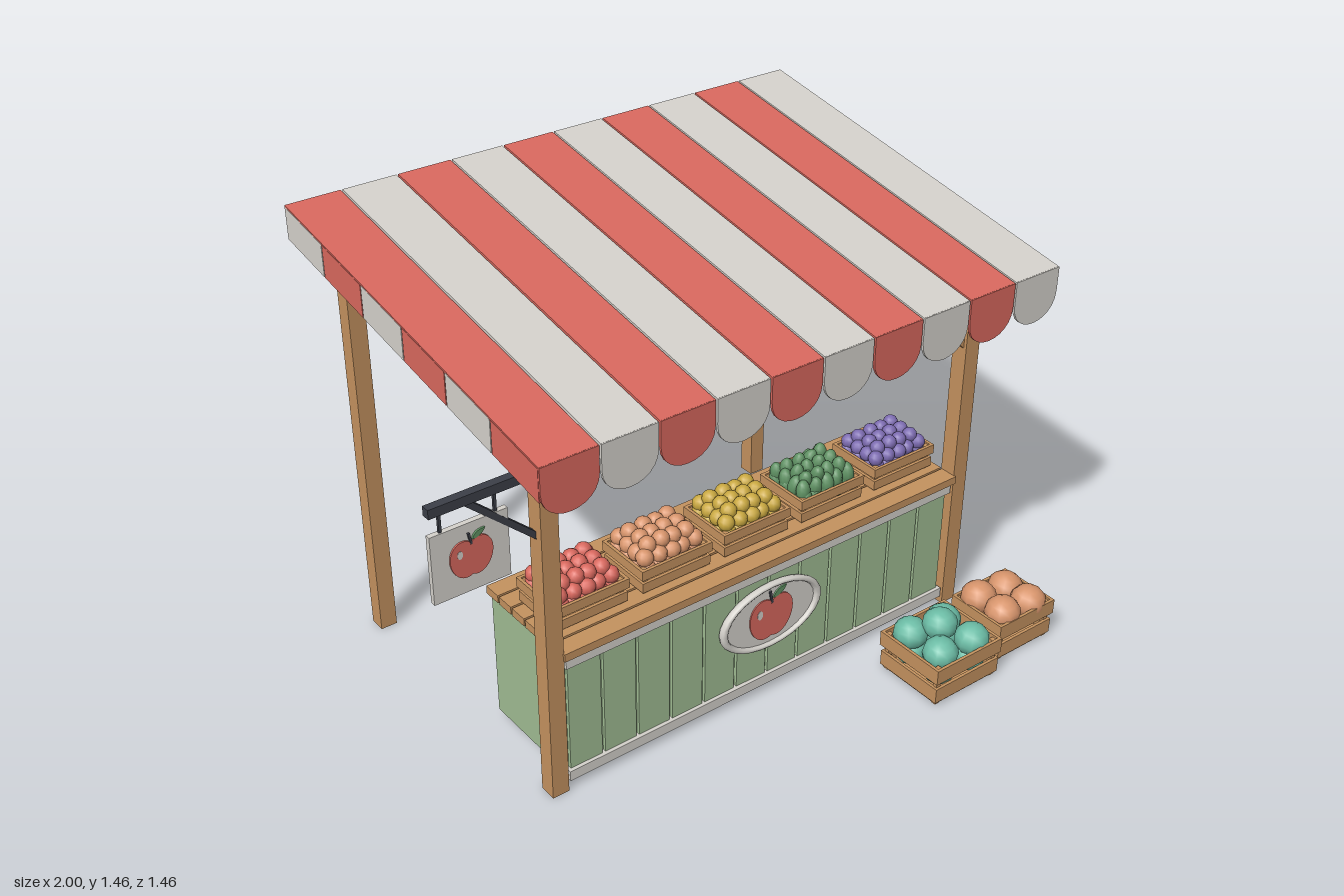
import * as THREE from 'three';

const mat = (name, color) => {
  const m = new THREE.MeshStandardMaterial({ color });
  m.name = name;
  return m;
};
const M = {
  red: mat('red', 0xd9685e), cream: mat('cream', 0xd5d2cc), wood: mat('wood', 0xc4925f),
  sage: mat('sage', 0xa0bc93), iron: mat('iron', 0x3c3f48), teal: mat('teal', 0x6cbda6),
  peach: mat('peach', 0xd8956c), yellow: mat('yellow', 0xc9a840),
  leaf: mat('leaf green', 0x5f9163), purple: mat('purple', 0x7c6bb0),
};

function add(parent, name, geo, material, x = 0, y = 0, z = 0) {
  const m = new THREE.Mesh(geo, material);
  m.name = name;
  m.position.set(x, y, z);
  parent.add(m);
  return m;
}
const box = (p, name, material, w, h, d, x, y, z) =>
  add(p, name, new THREE.BoxGeometry(w, h, d), material, x, y, z);

function group(parent, name, x = 0, y = 0, z = 0) {
  const g = new THREE.Group();
  g.name = name;
  g.position.set(x, y, z);
  parent.add(g);
  return g;
}

// Square bar between two points
function bar(p, name, material, a, b, w, d = w) {
  const A = new THREE.Vector3(...a), B = new THREE.Vector3(...b);
  const m = box(p, name, material, w, A.distanceTo(B), d, 0, 0, 0);
  m.position.copy(A).add(B).multiplyScalar(0.5);
  m.quaternion.setFromUnitVectors(new THREE.Vector3(0, 1, 0), B.sub(A).normalize());
  return m;
}

const plate = (shape, depth) =>
  new THREE.ExtrudeGeometry(shape, { depth, bevelEnabled: false, curveSegments: 12 });

// Painted apple made of thin plates, about 0.12 wide
function appleEmblem(parent, x, y, z, s, flip = false) {
  const g = group(parent, 'appleEmblem', x, y, z);
  g.scale.set(s, s, 1);
  if (flip) g.rotation.y = Math.PI;
  const body = new THREE.Shape();
  body.moveTo(0, 0.044);
  body.bezierCurveTo(0.025, 0.068, 0.063, 0.05, 0.063, 0.008);
  body.bezierCurveTo(0.063, -0.035, 0.03, -0.068, 0, -0.052);
  body.bezierCurveTo(-0.03, -0.068, -0.063, -0.035, -0.063, 0.008);
  body.bezierCurveTo(-0.063, 0.05, -0.025, 0.068, 0, 0.044);
  add(g, 'appleBody', plate(body, 0.005), M.red);
  const leaf = new THREE.Shape();
  leaf.moveTo(0.004, 0.052);
  leaf.quadraticCurveTo(0.01, 0.076, 0.042, 0.074);
  leaf.quadraticCurveTo(0.032, 0.052, 0.004, 0.052);
  add(g, 'appleLeaf', plate(leaf, 0.006), M.leaf);
  box(g, 'appleStem', M.iron, 0.006, 0.034, 0.006, -0.002, 0.056, 0.003).rotation.z = 0.2;
  const shine = new THREE.Shape();
  shine.absellipse(-0.034, 0.018, 0.008, 0.012, 0, Math.PI * 2);
  add(g, 'appleShine', plate(shine, 0.006), M.cream);
}

// Slatted crate standing on its own origin
function crate(parent, name, x, y, z, w, h, d) {
  const g = group(parent, name, x, y, z);
  const t = 0.01, slat = h * 0.37;
  box(g, 'crateFloor', M.wood, w - 0.02, t, d - 0.02, 0, 0.01, 0);
  for (const [cy, grow] of [[h * 0.28, -0.008], [h - slat / 2, 0]]) {
    for (const s of [-1, 1]) {
      box(g, 'longSlat', M.wood, w + grow, slat, t, 0, cy, s * (d + grow - t) / 2);
      box(g, 'endSlat', M.wood, t, slat, d + grow - 2 * t, s * (w + grow - t) / 2, cy, 0);
    }
  }
  for (const sx of [-1, 1]) for (const sz of [-1, 1])
    box(g, 'cornerPost', M.wood, 0.016, h * 0.96, 0.016,
      sx * (w / 2 - 0.02), h * 0.48, sz * (d / 2 - 0.02));
  return g;
}

// Heap of fruit in shrinking layers, with a small seeded jitter
function heap(g, material, r, tall, layers, y0, dx, dz) {
  let seed = 7;
  const rnd = () => ((seed = (seed * 16807) % 2147483647) / 2147483647) - 0.5;
  const geo = new THREE.SphereGeometry(r, 10, 8);
  layers.forEach(([nx, nz], k) => {
    for (let i = 0; i < nx; i++) for (let j = 0; j < nz; j++) {
      const f = add(g, 'fruit', geo, material, (i - (nx - 1) / 2) * dx + rnd() * r * 0.3,
        y0 + k * r * 1.15 + rnd() * r * 0.35, (j - (nz - 1) / 2) * dz + rnd() * r * 0.3);
      f.scale.y = tall;
      f.rotation.set(rnd() * 0.5, rnd() * 3, rnd() * 0.5);
    }
  });
}

export function createModel() {
  const root = new THREE.Group();
  root.name = 'marketStall';
  const CX = 0.095, XL = -0.665, XR = 0.855, ZF = 0.335, ZB = -0.643;
  const Z0 = 0.53, Z1 = -0.725, Y0 = 1.225, Y1 = 1.453;
  const roofY = z => Y0 + (Y1 - Y0) * (Z0 - z) / (Z0 - Z1);

  // Timber frame
  const frame = group(root, 'frame');
  for (const x of [XL, XR]) {
    const s = x === XL ? 1 : -1;
    box(frame, 'frontPost', M.wood, 0.055, 1.23, 0.055, x, 0.615, ZF);
    box(frame, 'backPost', M.wood, 0.055, 1.41, 0.055, x, 0.705, ZB);
    bar(frame, 'sideBeam', M.wood, [x, 1.205, ZF], [x, 1.385, ZB], 0.045);
    bar(frame, 'frontBrace', M.wood, [x + s * 0.015, 0.95, ZF], [x + s * 0.255, 1.19, ZF], 0.034);
  }
  box(frame, 'frontBeam', M.wood, XR - XL + 0.09, 0.05, 0.05, CX, 1.205, ZF);
  box(frame, 'backBeam', M.wood, XR - XL + 0.09, 0.05, 0.05, CX, 1.385, ZB);

  // Striped canopy with scalloped front
  const canopy = group(root, 'canopy');
  const W = 0.18, sw = 0.174, slope = Math.atan2(Y1 - Y0, Z0 - Z1);
  const scallop = new THREE.Shape();
  scallop.moveTo(-sw / 2, 0);
  scallop.lineTo(-sw / 2, -0.075);
  scallop.bezierCurveTo(-sw / 2, -0.182, sw / 2, -0.182, sw / 2, -0.075);
  scallop.lineTo(sw / 2, 0);
  const scallopGeo = plate(scallop, 0.008);
  for (let i = 0; i < 10; i++) {
    const m = i % 2 ? M.cream : M.red, x = -0.8 + W * (i + 0.5);
    box(canopy, 'roofStripe', m, sw, 0.009, Math.hypot(Z0 - Z1, Y1 - Y0),
      x, (Y0 + Y1) / 2, (Z0 + Z1) / 2).rotation.x = slope;
    add(canopy, 'scallop', scallopGeo, m, x, Y0 + 0.004, Z0 - 0.004);
  }
  // Side flaps follow the roof slope
  const n = 6, step = (Z0 - Z1) / n;
  for (let i = 0; i < n; i++) {
    const a = Z0 - i * step - 0.002, b = Z0 - (i + 1) * step + 0.002;
    const flap = new THREE.Shape([[-a, roofY(a) - 0.098], [-b, roofY(b) - 0.098],
      [-b, roofY(b)], [-a, roofY(a)]].map(p => new THREE.Vector2(...p)));
    for (const x of [-0.798, 0.99])
      add(canopy, 'sideFlap', plate(flap, 0.008), i % 2 ? M.cream : M.red, x).rotation.y = Math.PI / 2;
  }

  // Counter
  const counter = group(root, 'counter');
  box(counter, 'frontPanel', M.sage, 1.44, 0.43, 0.012, CX, 0.25, 0.331);
  for (let i = 0; i < 12; i++)
    box(counter, 'frontBoard', M.sage, 0.11, 0.42, 0.012, -0.625 + 0.12 * (i + 0.5), 0.25, 0.342);
  for (const x of [-0.615, 0.805])
    box(counter, 'sidePanel', M.sage, 0.02, 0.43, 0.355, x, 0.25, 0.155);
  box(counter, 'topTrim', M.cream, 1.45, 0.034, 0.03, CX, 0.447, 0.345);
  box(counter, 'bottomTrim', M.cream, 1.45, 0.034, 0.03, CX, 0.046, 0.345);
  for (let i = 0; i < 6; i++)
    box(counter, 'topPlank', M.wood, 1.47, 0.026, 0.06, CX, 0.479, 0.34 - i * 0.067);
  box(counter, 'shelf', M.wood, 1.4, 0.018, 0.34, CX, 0.17, 0.157);

  // Oval emblem on the counter
  const oval = group(root, 'ovalSign', CX, 0.29, 0.352);
  const disc = new THREE.Shape();
  disc.absellipse(0, 0, 0.18, 0.108, 0, Math.PI * 2);
  add(oval, 'ovalPlate', plate(disc, 0.01), M.cream);
  const ring = add(oval, 'ovalRim', new THREE.TorusGeometry(0.18, 0.013, 8, 28), M.cream, 0, 0, 0.01);
  ring.scale.set(1, 0.6, 1);
  appleEmblem(oval, 0, -0.008, 0.009, 1.3);

  // Hanging sign
  const sign = group(root, 'hangingSign');
  box(sign, 'arm', M.iron, 0.31, 0.028, 0.026, -0.845, 1.076, ZF - 0.005);
  bar(sign, 'armBrace', M.iron, [-0.895, 1.07, ZF - 0.005], [-0.685, 0.88, ZF - 0.005], 0.018);
  for (const x of [-0.965, -0.805])
    box(sign, 'hanger', M.iron, 0.008, 0.07, 0.008, x, 1.03, ZF - 0.005);
  box(sign, 'signBoard', M.cream, 0.228, 0.205, 0.016, -0.886, 0.903, ZF - 0.005);
  appleEmblem(sign, -0.886, 0.905, ZF + 0.003, 1);
  appleEmblem(sign, -0.886, 0.905, ZF - 0.013, 1, true);

  // Crates of produce on the counter: colour, radius, height factor
  const produce = [['redFruit', M.red, 0.026, 1], ['peachFruit', M.peach, 0.027, 1],
    ['yellowFruit', M.yellow, 0.026, 1], ['greenProduce', M.leaf, 0.022, 1.6],
    ['purpleFruit', M.purple, 0.024, 1]];
  produce.forEach(([name, m, r, tall], i) => {
    const c = crate(root, name + 'Crate', -0.487 + i * 0.2925, 0.493, 0.19, 0.248, 0.084, 0.195);
    heap(c, m, r, tall, [[5, 4], [5, 4], [4, 3]], 0.064, 0.043, 0.042);
  });

  // Floor crates
  const big = crate(root, 'tealMelonCrate', 0.575, 0, 0.605, 0.27, 0.138, 0.25);
  heap(big, M.teal, 0.056, 0.9, [[2, 2]], 0.135, 0.125, 0.115);
  heap(big, M.teal, 0.056, 0.9, [[1, 1]], 0.175, 0, 0);
  heap(big, M.teal, 0.05, 0.9, [[2, 2]], 0.07, 0.12, 0.11);
  const small = crate(root, 'peachMelonCrate', 0.865, 0, 0.585, 0.238, 0.138, 0.212);
  heap(small, M.peach, 0.058, 0.9, [[2, 2]], 0.132, 0.105, 0.09);
  return root;
}
